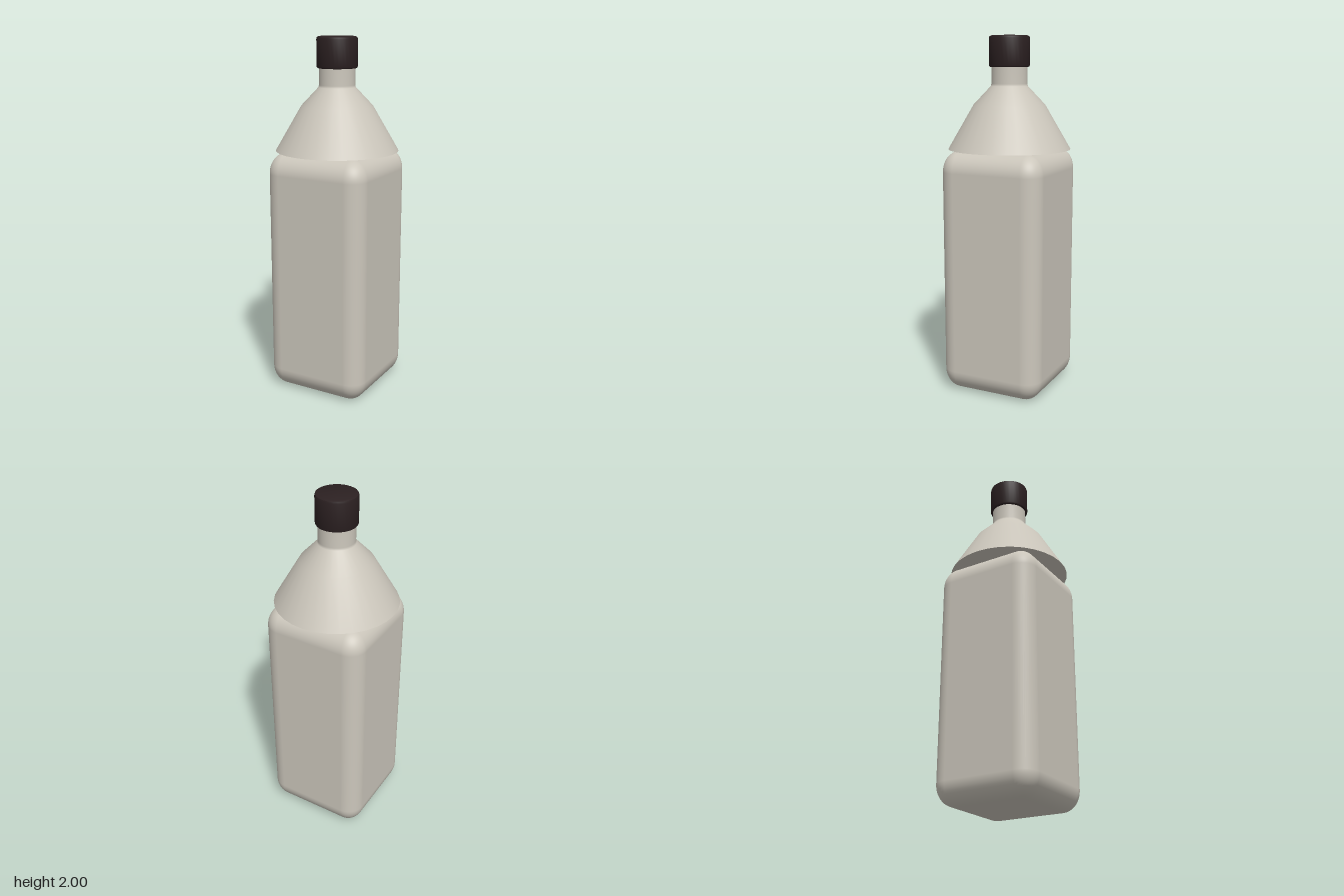
import * as THREE from 'three';
import { toCreasedNormals } from 'three/addons/utils/BufferGeometryUtils.js';
import { RoundedBoxGeometry } from 'three/addons/geometries/RoundedBoxGeometry.js';

const SEGMENTS = 32;

// Turned part from [radius, height] pairs, listed bottom to top
function lathe(profile) {
  return new THREE.LatheGeometry(profile.map(([r, y]) => new THREE.Vector2(r, y)), SEGMENTS);
}

export function createModel() {
  const group = new THREE.Group();
  const plastic = new THREE.MeshStandardMaterial({ color: 0xcbc6bb });
  plastic.name = 'warm grey plastic';
  const dark = new THREE.MeshStandardMaterial({ color: 0x2b2021 });
  dark.name = 'dark brown cap';

  function add(name, geometry, material, y = 0) {
    const mesh = new THREE.Mesh(geometry, material);
    mesh.name = name;
    mesh.position.y = y;
    group.add(mesh);
    return mesh;
  }

  // Square body; the rounding is stretched vertically near the ends
  const bodyHeight = 1.378;
  const body = new RoundedBoxGeometry(0.6, 1, 0.6, 6, 0.098);
  const pos = body.attributes.position;
  for (let i = 0; i < pos.count; i++) {
    const y = pos.getY(i);
    const fromEnd = (0.5 - Math.abs(y)) * 1.2;
    pos.setY(i, Math.sign(y) * (bodyHeight / 2 - fromEnd));
  }
  add('body', body, plastic, bodyHeight / 2);

  // Flared shoulder running into the neck
  add('shoulder', lathe([[0.343, 1.38], [0.2, 1.625], [0.103, 1.727], [0.1, 1.74], [0.1, 1.84]]), plastic);

  // Flat underside of the shoulder
  const underside = add('shoulderUnderside', new THREE.CircleGeometry(0.343, SEGMENTS), plastic, 1.38);
  underside.rotation.x = Math.PI / 2;

  // Screw cap with softened rims
  const cap = lathe([
    [0, 1.83], [0.104, 1.83], [0.11, 1.833], [0.113, 1.84],
    [0.113, 1.985], [0.11, 1.995], [0.1, 2], [0, 2],
  ]);
  add('cap', toCreasedNormals(cap, 0.7), dark);

  return group;
}
